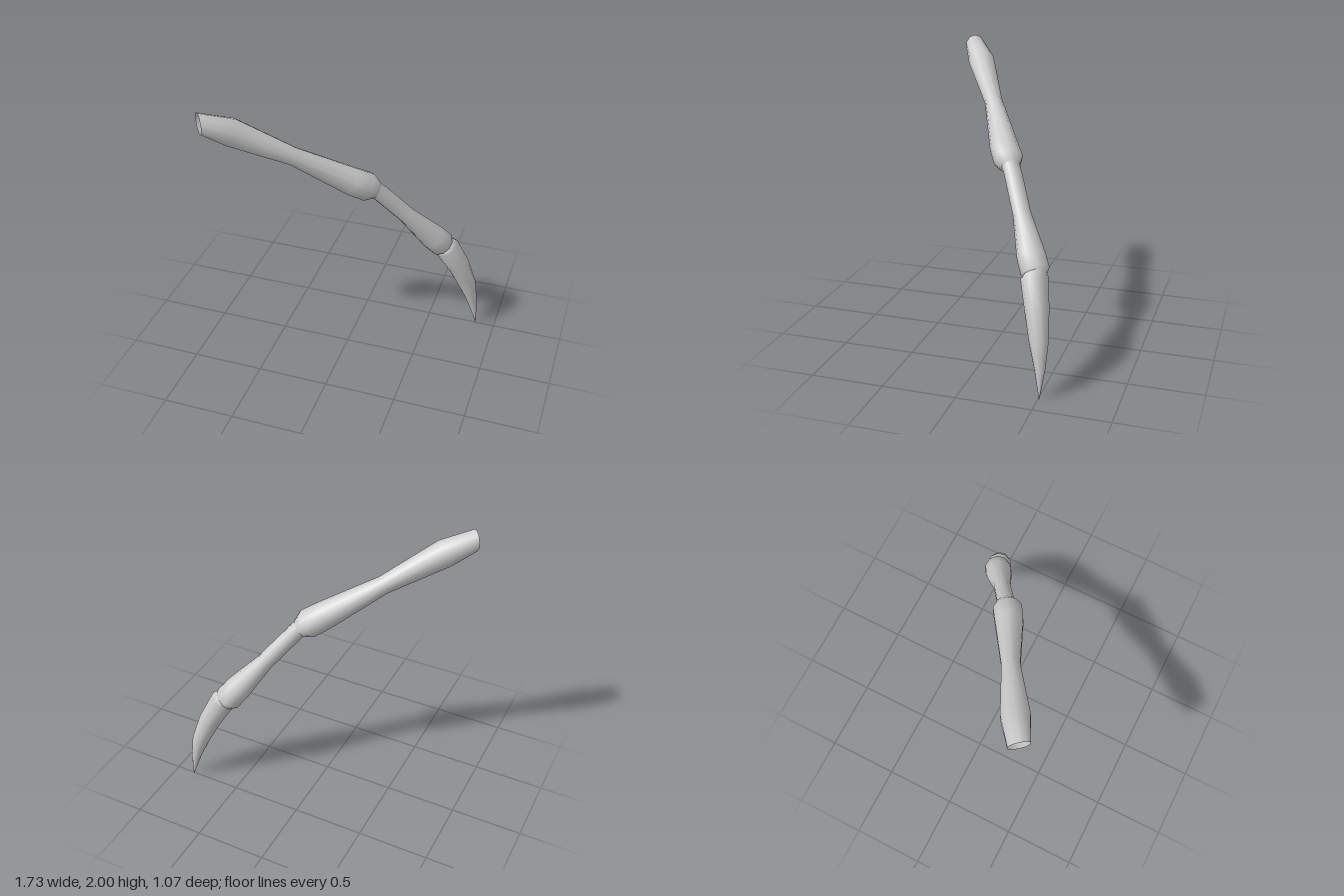
import * as THREE from 'three';

const SIDES = 10;
const material = new THREE.MeshStandardMaterial({ color: 0xcccccc, side: THREE.DoubleSide });
// horizontal direction across the plane in which the leg bends
const across = new THREE.Vector3(0.52, 0, 0.85).normalize();

// Skins a tube over rings of [x, y, z, radius]; firstNormal tilts the opening
function limb(name, rings, firstNormal) {
  const pos = [], index = [];
  const centres = rings.map(r => new THREE.Vector3(r[0], r[1], r[2]));
  rings.forEach((ring, i) => {
    const before = centres[Math.max(i - 1, 0)];
    const after = centres[Math.min(i + 1, rings.length - 1)];
    const t = i === 0 && firstNormal ? firstNormal.clone().normalize()
      : after.clone().sub(before).normalize();
    const s = across.clone().addScaledVector(t, -across.dot(t)).normalize();
    const v = t.clone().cross(s);
    for (let j = 0; j < SIDES; j++) {
      const a = (j + 0.5) / SIDES * Math.PI * 2;
      const p = centres[i].clone()
        .addScaledVector(s, Math.cos(a) * ring[3])
        .addScaledVector(v, Math.sin(a) * ring[3]);
      pos.push(p.x, p.y, p.z);
      if (i < rings.length - 1) {
        const k = (j + 1) % SIDES, b = i * SIDES, c = b + SIDES;
        index.push(b + j, b + k, c + j, b + k, c + k, c + j);
      }
    }
  });
  const geometry = new THREE.BufferGeometry();
  geometry.setAttribute('position', new THREE.Float32BufferAttribute(pos, 3));
  geometry.setIndex(index);
  geometry.computeVertexNormals();
  const mesh = new THREE.Mesh(geometry, material);
  mesh.name = name;
  return mesh;
}

export function createModel() {
  const leg = new THREE.Group();
  leg.name = 'leg';

  // upper segment, open at the body end
  leg.add(limb('upperSegment', [
    [-0.82, 1.93, 0.475, 0.072],
    [-0.655, 1.845, 0.37, 0.094],
    [-0.32, 1.622, 0.17, 0.062],
    [0.02, 1.39, -0.015, 0.098],
    [0.115, 1.33, -0.075, 0.101],
    [0.16, 1.295, -0.105, 0.065],
  ], new THREE.Vector3(0.77, 0, -0.63)));

  // middle segment, tucked into the upper one
  leg.add(limb('middleSegment', [
    [0.13, 1.33, -0.085, 0.058],
    [0.19, 1.26, -0.13, 0.06],
    [0.355, 1.045, -0.24, 0.06],
    [0.52, 0.83, -0.35, 0.094],
    [0.58, 0.75, -0.395, 0.095],
    [0.605, 0.71, -0.415, 0.06],
  ]));

  // curved claw ending in a point
  leg.add(limb('claw', [
    [0.6, 0.745, -0.4, 0.07],
    [0.62, 0.72, -0.402, 0.09],
    [0.71, 0.548, -0.445, 0.079],
    [0.783, 0.36, -0.48, 0.062],
    [0.825, 0.19, -0.5, 0.034],
    [0.86, 0.005, -0.507, 0.002],
  ], new THREE.Vector3(0.6, -0.7, -0.35)));

  return leg;
}
